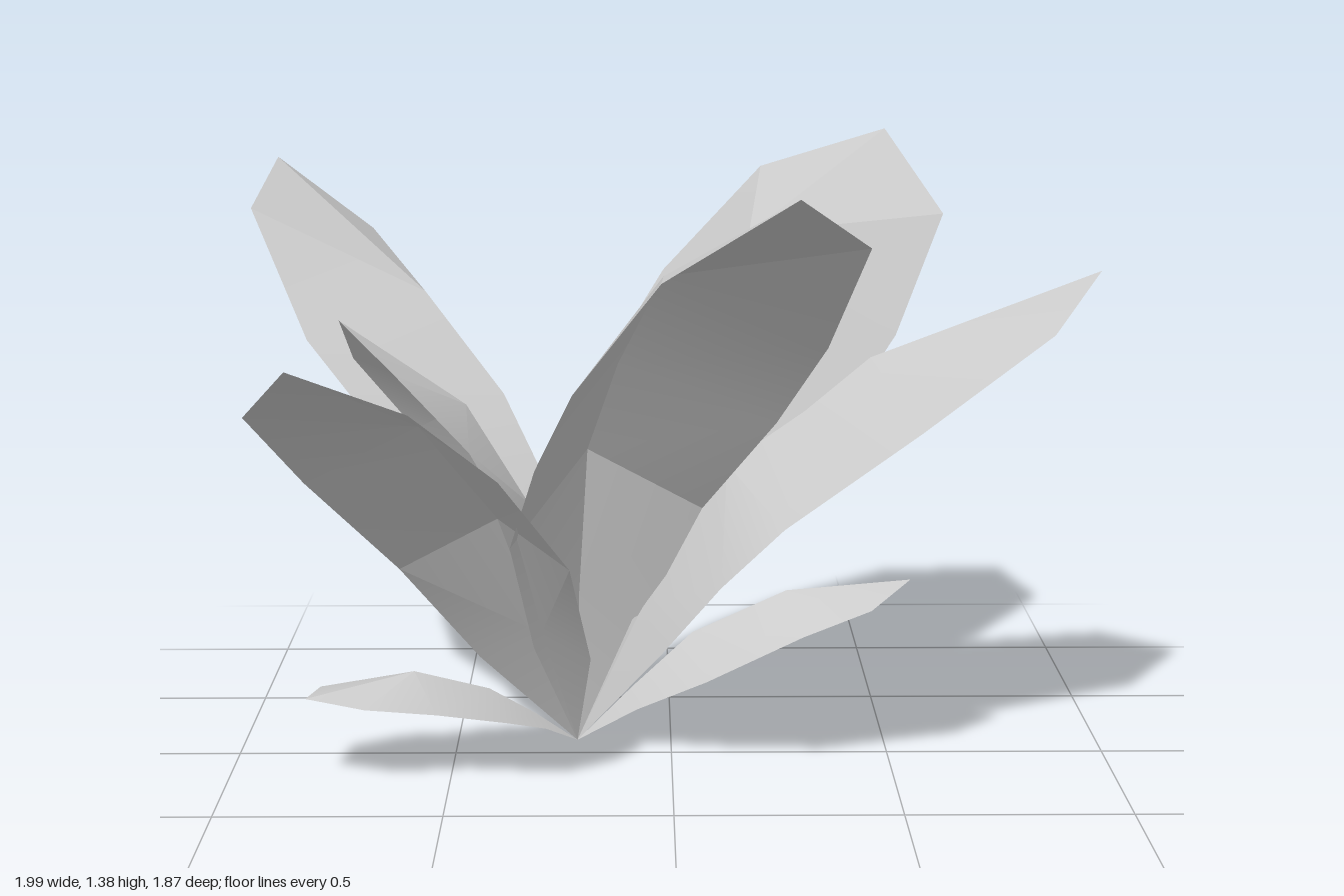
import * as THREE from 'three';
import { toCreasedNormals } from 'three/addons/utils/BufferGeometryUtils.js';

// All leaves grow from this point on the ground.
const ROOT = new THREE.Vector3(-0.22, 0, -0.11);

// Leaf profiles. Midrib rows: reach, height (the last is the tip).
// Edge rows: reach, height, half width.
const tall = {
  mid: [[0.05, 0.37], [0.13, 0.72], [0.30, 0.94], [0.53, 1.16], [1.11, 1.375]],
  edge: [[0.08, 0.27, 0.14], [0.21, 0.55, 0.25], [0.47, 0.78, 0.305], [0.685, 0.975, 0.315], [0.975, 1.23, 0.25]],
};
const upright = {
  mid: [[0.06, 0.29], [0.13, 0.58], [0.28, 0.79], [0.53, 1.015], [1.01, 1.315]],
  edge: [[0.10, 0.23, 0.15], [0.21, 0.46, 0.25], [0.36, 0.61, 0.29], [0.64, 0.87, 0.327], [0.885, 1.17, 0.26]],
};
const wide = {
  mid: [[0.15, 0.33], [0.35, 0.66], [0.53, 0.785], [0.68, 0.91], [1.21, 1.11]],
  edge: [[0.20, 0.26, 0.20], [0.33, 0.43, 0.285], [0.47, 0.57, 0.32], [0.77, 0.79, 0.345], [1.07, 1.00, 0.275]],
};
const spreading = {
  mid: [[0.15, 0.29], [0.33, 0.59], [0.66, 0.85], [1.18, 1.04]],
  edge: [[0.19, 0.24, 0.14], [0.41, 0.49, 0.21], [0.755, 0.745, 0.23], [1.04, 0.93, 0.19]],
};
const inner = {
  mid: [[0.06, 0.30], [0.12, 0.58], [0.27, 0.82], [0.57, 1.03]],
  edge: [[0.08, 0.23, 0.10], [0.17, 0.47, 0.16], [0.33, 0.74, 0.175], [0.49, 0.92, 0.14]],
};
const low = {
  mid: [[0.11, 0.08], [0.23, 0.155], [0.42, 0.22], [0.69, 0.19]],
  edge: [[0.12, 0.06, 0.07], [0.25, 0.105, 0.13], [0.44, 0.155, 0.155], [0.60, 0.18, 0.12]],
};
const lowBack = {
  mid: [[0.10, 0.10], [0.22, 0.22], [0.42, 0.30], [0.635, 0.315]],
  edge: [[0.12, 0.08, 0.08], [0.25, 0.16, 0.13], [0.43, 0.24, 0.15], [0.56, 0.285, 0.12]],
};
const lowSide = {
  mid: [[0.13, 0.13], [0.27, 0.26], [0.49, 0.36], [0.78, 0.385]],
  edge: [[0.14, 0.10, 0.10], [0.30, 0.18, 0.16], [0.52, 0.29, 0.18], [0.68, 0.34, 0.13]],
};

// Name, profile, horizontal direction (x, z), roll about the leaf's length.
const LEAVES = [
  ['leftLeaf', wide, 1.21, 0, 0],
  ['frontLeftLeaf', tall, 0.465, 1.01, -0.08],
  ['backLeftLeaf', tall, 0.77, -0.8, -0.19],
  ['backRightLeaf', upright, -0.75, -0.675, -0.19],
  ['frontRightLeaf', spreading, -0.555, 1.045, -0.08],
  ['innerLeaf', inner, -0.52, 0.23, 0],
  ['lowRightLeaf', low, -0.6, 0.335, 0],
  ['lowBackLeaf', lowBack, -0.195, -0.605, 0],
  ['lowLeftLeaf', lowSide, 0.78, 0, 0],
];

const material = new THREE.MeshStandardMaterial({ color: 0xcccccc, side: THREE.DoubleSide });

// A folded blade: raised midrib, one drooping half to each side, facets at the tip.
function makeLeaf(name, { mid, edge }, dx, dz, roll) {
  const len = Math.hypot(dx, dz);
  const last = mid.length - 1;
  const [tipR, tipY] = mid[last];
  const tipLength = Math.hypot(tipR, tipY);
  // Rolls a profile point about the line from root to tip.
  const point = (r, y, w = 0) => {
    const across = w - roll * (y * tipR - r * tipY) / tipLength;
    const reach = r - roll * w * tipY / tipR;
    return [(dx * reach - dz * across) / len, y + roll * w, (dz * reach + dx * across) / len];
  };
  const positions = [];
  for (const side of [-1, 1]) {
    const m = mid.map(([r, y]) => point(r, y));
    const e = edge.map(([r, y, w]) => point(r, y, side * w));
    const face = (a, b, c) => positions.push(...(side > 0 ? [a, c, b] : [a, b, c]).flat());
    face([0, 0, 0], m[0], e[0]);
    for (let i = 0; i < last - 1; i++) {
      face(e[i], m[i], e[i + 1]);
      face(m[i], m[i + 1], e[i + 1]);
    }
    face(e[last - 1], m[last - 1], e[last]);
    face(m[last - 1], m[last], e[last]);
  }
  const geometry = new THREE.BufferGeometry();
  geometry.setAttribute('position', new THREE.Float32BufferAttribute(positions, 3));
  const mesh = new THREE.Mesh(toCreasedNormals(geometry, 0.3), material);
  mesh.name = name;
  mesh.position.copy(ROOT);
  return mesh;
}

export function createModel() {
  const plant = new THREE.Group();
  plant.name = 'leafyPlant';
  for (const leaf of LEAVES) plant.add(makeLeaf(...leaf));
  return plant;
}
